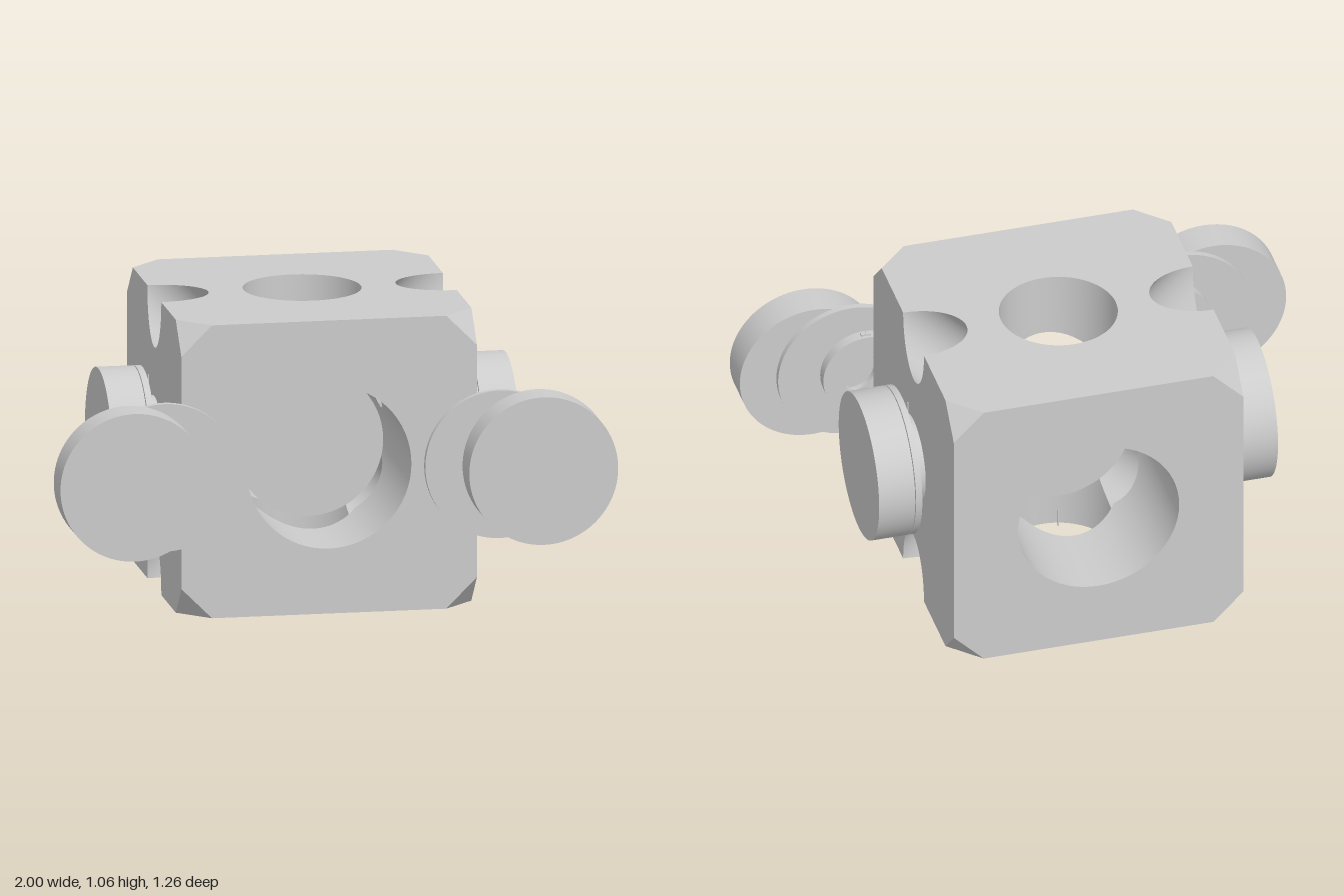
import * as THREE from 'three';
import { toCreasedNormals } from 'three/addons/utils/BufferGeometryUtils.js';

const C = 0.53;          // half side of the block
const CUT = 0.11;        // corner cut
const RZ = 0.295;        // front-to-back bore
const RY = 0.21;         // vertical bore
const RD = 0.137;        // diagonal bores through the side edges
const MID_Z = -0.1;
const { SQRT2, PI } = Math;
const root = (v) => Math.sqrt(Math.max(0, v));

const material = new THREE.MeshStandardMaterial({ color: 0xcccccc });

function add(parent, name, geometry) {
  const mesh = new THREE.Mesh(geometry, material);
  mesh.name = name;
  parent.add(mesh);
  return mesh;
}

// Octagonal block face with an optional round hole and edge notches
function faceGeometry(holeRadius, notched) {
  const e = C - CUT;
  const s = new THREE.Shape();
  s.moveTo(C, -e);
  s.lineTo(C, e);
  s.lineTo(e, C);
  if (notched) {
    s.lineTo(RD, C);
    s.absellipse(0, C, RD, RD * SQRT2, 0, PI, true);
  }
  s.lineTo(-e, C);
  s.lineTo(-C, e);
  s.lineTo(-C, -e);
  s.lineTo(-e, -C);
  if (notched) {
    s.lineTo(-RD, -C);
    s.absellipse(0, -C, RD, RD * SQRT2, PI, 0, true);
  }
  s.lineTo(e, -C);
  if (holeRadius) s.holes.push(new THREE.Path().absarc(0, 0, holeRadius, 0, 2 * PI, true));
  return new THREE.ShapeGeometry(s, 32).translate(0, 0, C);
}

// Bore wall: a ruled tube around 'axis', trimmed by near(q) and far(q)
function boreGeometry(radius, axis, side, near, far, n = 128) {
  const e2 = new THREE.Vector3().crossVectors(axis, side);
  const positions = [];
  const index = [];
  for (let i = 0; i < n; i++) {
    const t = (i / n) * 2 * PI;
    const q = side.clone().multiplyScalar(radius * Math.cos(t)).addScaledVector(e2, radius * Math.sin(t));
    for (const s of [near(q), far(q)]) positions.push(...q.clone().addScaledVector(axis, s).toArray());
    const a = 2 * i;
    const b = 2 * ((i + 1) % n);
    index.push(a, a + 1, b, a + 1, b + 1, b);
  }
  const g = new THREE.BufferGeometry();
  g.setAttribute('position', new THREE.Float32BufferAttribute(positions, 3));
  g.setIndex(index);
  g.computeVertexNormals();
  return g;
}

function createBlock() {
  const block = new THREE.Group();
  block.name = 'boredBlock';
  const X = new THREE.Vector3(1, 0, 0);
  const Z = new THREE.Vector3(0, 0, 1);

  for (const s of [1, -1]) {
    // Faces
    add(block, 'holedFace', faceGeometry(RZ, false).rotateY(s > 0 ? 0 : PI));
    add(block, 'sideFace', faceGeometry(0, true).rotateY(s * PI / 2));
    add(block, 'topOrBottomFace', faceGeometry(RY, true).rotateZ(PI / 2).rotateX(-s * PI / 2));

    // Main bore, opened where the other bores break in
    add(block, 'mainBore', boreGeometry(RZ, new THREE.Vector3(0, 0, s), X, (q) => Math.max(
      root(RY ** 2 - q.x ** 2),
      root(RD ** 2 - (q.x - q.y) ** 2 / 2),
      root(RD ** 2 - (q.x + q.y) ** 2 / 2),
    ), () => C, 256));

    // Vertical bore
    add(block, 'verticalBore', boreGeometry(RY, new THREE.Vector3(0, s, 0), Z, (q) => Math.max(
      root(RZ ** 2 - q.x ** 2),
      Math.abs(q.z) < RD ? Math.abs(q.x) + SQRT2 * root(RD ** 2 - q.z ** 2) : 0,
    ), () => C));

    // Diagonal bores out through the edges
    for (const b of [1, -1]) {
      const axis = new THREE.Vector3(s, b, 0).normalize();
      add(block, 'diagonalBore', boreGeometry(RD, axis, Z,
        (q) => Math.max(
          root(RZ ** 2 - q.x ** 2 - q.y ** 2),
          SQRT2 * (root(RY ** 2 - q.z ** 2) - s * q.x),
        ),
        (q) => SQRT2 * Math.min(C - s * q.x, C - b * q.y)));

      // Cut corners
      for (const c of [1, -1]) {
        const pts = [0, 1, 2].map((k) => {
          const p = new THREE.Vector3(s, b, c).multiplyScalar(C);
          return p.setComponent(k, p.getComponent(k) * (1 - CUT / C));
        });
        if (s * b * c < 0) pts.reverse();
        const g = new THREE.BufferGeometry().setFromPoints(pts);
        g.computeVertexNormals();
        add(block, 'cutCorner', g);
      }
    }
  }
  return block;
}

// Disc or ring along z from z0 to z1
function ringGeometry(outer, inner, z0, z1) {
  const s = new THREE.Shape().absarc(0, 0, outer, 0, 2 * PI);
  if (inner) s.holes.push(new THREE.Path().absarc(0, 0, inner, 0, 2 * PI, true));
  const g = new THREE.ExtrudeGeometry(s, { depth: z1 - z0, bevelEnabled: false, curveSegments: 48 });
  return toCreasedNormals(g.translate(0, 0, z0), 0.6);
}

// Ring hub with its two tabs and thin pins
function addHub(parent, x, z0, z1) {
  const hub = new THREE.Group();
  hub.name = 'hub';
  add(hub, 'hubRing', ringGeometry(0.16, 0.09, z0, z1));
  for (const s of [1, -1]) {
    add(hub, 'hubTab', new THREE.BoxGeometry(0.035, 0.012, 0.018)).position.set(0, s * 0.16, (z0 + z1) / 2);
    add(hub, 'hubPin', new THREE.BoxGeometry(0.004, 0.08, 0.004)).position.set(0, s * 0.2, (z0 + z1) / 2);
  }
  hub.position.x = x;
  parent.add(hub);
}

// Hub, thin ring plate and thick cap, each shifted sideways
function createWheel(name, hubX, plateX, capX) {
  const wheel = new THREE.Group();
  wheel.name = name;
  addHub(wheel, hubX, 0, 0.042);
  add(wheel, 'ringPlate', ringGeometry(0.267, 0.09, 0.042, 0.065)).position.x = plateX;
  add(wheel, 'cap', ringGeometry(0.267, 0, 0.068, 0.2)).position.x = capX;
  return wheel;
}

export function createModel() {
  const model = new THREE.Group();
  model.name = 'boredBlockWithDiscs';
  const block = createBlock();
  block.position.set(0, C, MID_Z);
  model.add(block);

  for (const s of [1, -1]) {
    const side = createWheel(s > 0 ? 'leftDisc' : 'rightDisc', 0, 0, 0);
    side.rotation.y = s * PI / 2;
    side.position.set(s * C, C, MID_Z);
    model.add(side);

    const front = createWheel(s > 0 ? 'frontLeftDisc' : 'frontRightDisc', s * 0.553, s * 0.6, s * 0.733);
    front.position.set(0, C, MID_Z + C);
    model.add(front);
  }

  // Disc floating in the middle of the main bore
  const core = new THREE.Group();
  core.name = 'coreDisc';
  add(core, 'cap', ringGeometry(0.267, 0, -0.1, 0.03));
  addHub(core, 0, -0.128, -0.09);
  add(core, 'backPin', new THREE.BoxGeometry(0.004, 0.004, 0.055)).position.set(-0.035, 0, -0.155);
  add(core, 'lowerPin', new THREE.BoxGeometry(0.004, 0.07, 0.004)).position.set(0, -0.36, -0.1);
  core.position.y = C;
  model.add(core);

  return model;
}
